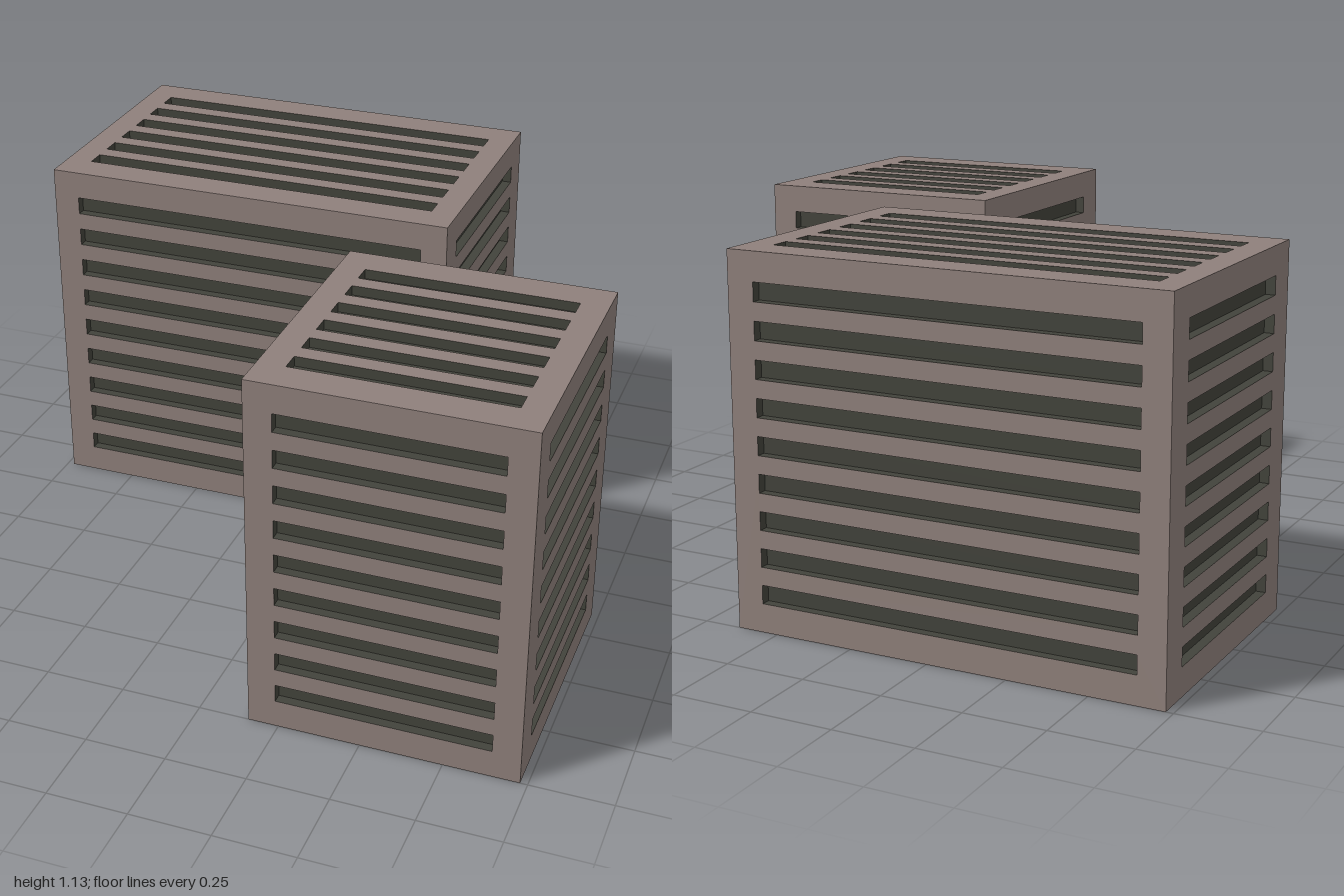
import * as THREE from 'three';

const shell = new THREE.MeshStandardMaterial({ color: 0x8f807b });
const dark = new THREE.MeshStandardMaterial({ color: 0x42433b });
const HEIGHT = 1.134, DEPTH = 0.868, RECESS = 0.03;

// Rectangle centred on (0, y), as a shape or as a hole
function rect(target, w, h, y = 0) {
  target.moveTo(-w / 2, y - h / 2);
  target.lineTo(w / 2, y - h / 2);
  target.lineTo(w / 2, y + h / 2);
  target.lineTo(-w / 2, y + h / 2);
  target.closePath();
  return target;
}

// Box seen from the inside, open towards +z
function pocketGeometry(w, h) {
  const geo = new THREE.BoxGeometry(w, h, RECESS);
  const inward = [...geo.index.array].filter((_, i) => i < 24 || i >= 30).reverse();
  geo.setIndex(inward);
  geo.clearGroups();
  geo.computeVertexNormals();
  return geo;
}

// Flat panel facing +z with a column of recessed slots
function slottedPanel(name, w, h, slotW, slotH, count, span) {
  const panel = new THREE.Group();
  panel.name = name;
  const shape = rect(new THREE.Shape(), w, h);
  const pocket = pocketGeometry(slotW, slotH);
  for (let i = 0; i < count; i++) {
    const y = -span / 2 + (span * i) / (count - 1);
    shape.holes.push(rect(new THREE.Path(), slotW, slotH, y));
    const slot = new THREE.Mesh(pocket, dark);
    slot.name = 'ventSlot';
    slot.position.set(0, y, -RECESS / 2);
    panel.add(slot);
  }
  const face = new THREE.Mesh(new THREE.ShapeGeometry(shape), shell);
  face.name = 'panelFace';
  panel.add(face);
  return panel;
}

// Box with vents on all six sides
function ventedBox(name, width, x, z) {
  const box = new THREE.Group();
  box.name = name;
  const slotX = width - 0.17, slotZ = DEPTH - 0.216;

  for (const s of [1, -1]) {
    const wall = slottedPanel(s > 0 ? 'frontPanel' : 'backPanel', width, HEIGHT, slotX, 0.057, 9, 0.9);
    wall.rotation.y = s > 0 ? 0 : Math.PI;
    wall.position.z = s * DEPTH / 2;

    const side = slottedPanel(s > 0 ? 'leftPanel' : 'rightPanel', DEPTH, HEIGHT, slotZ, 0.057, 9, 0.9);
    side.rotation.y = s * Math.PI / 2;
    side.position.x = s * width / 2;

    const lid = slottedPanel(s > 0 ? 'topPanel' : 'bottomPanel', width, DEPTH, slotX, 0.063, 6, 0.588);
    lid.rotation.x = -s * Math.PI / 2;
    lid.position.y = s * HEIGHT / 2;
    box.add(wall, side, lid);
  }
  box.position.set(x, HEIGHT / 2, z);
  return box;
}

export function createModel() {
  const model = new THREE.Group();
  model.name = 'ventedBoxes';
  model.add(
    ventedBox('wideBox', 1.36, -0.298, -0.566),
    ventedBox('narrowBox', 0.822, 0.567, 0.566),
  );
  return model;
}
